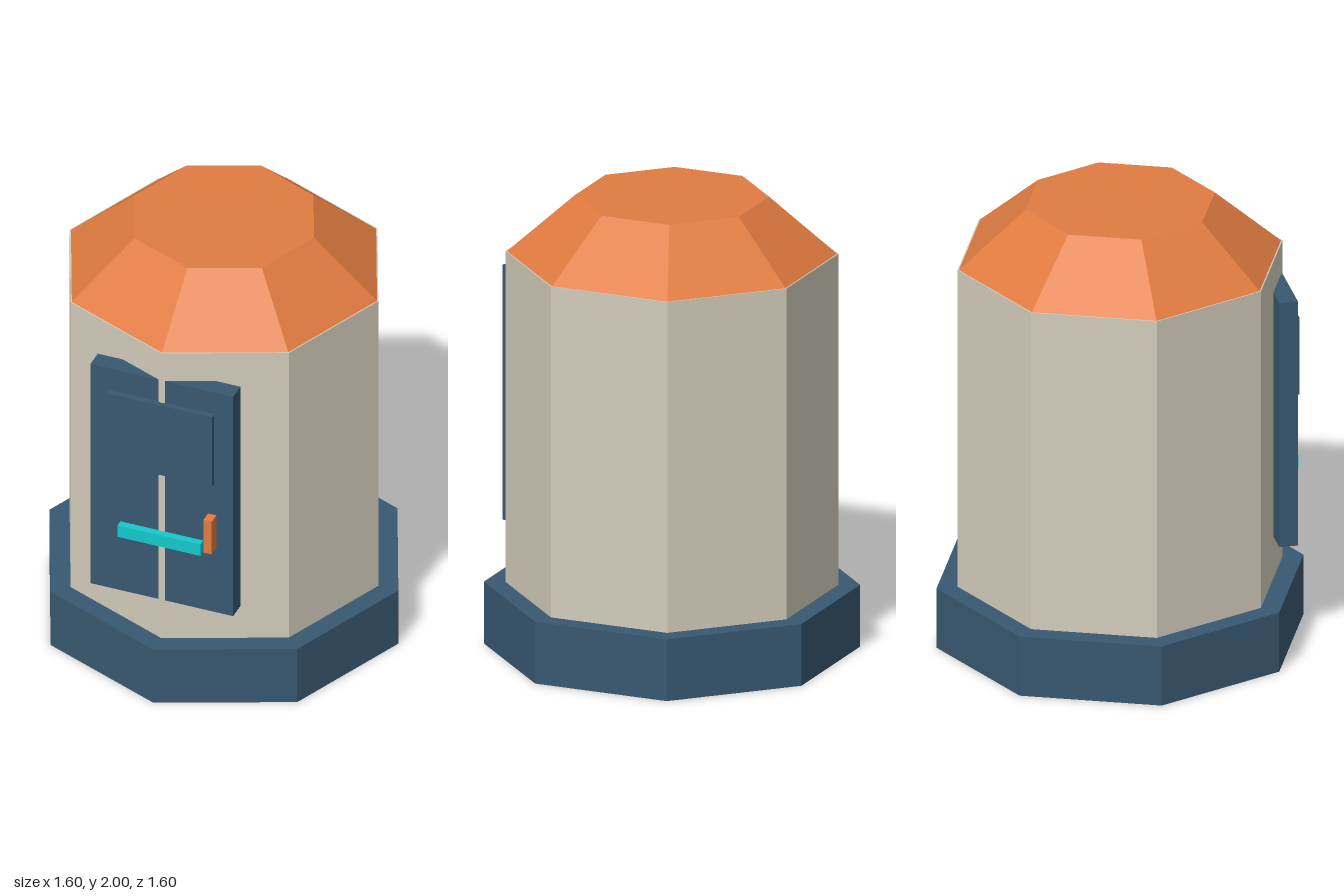
import * as THREE from 'three';

export function createModel() {
  const group = new THREE.Group();
  const material = (name, color) => {
    const m = new THREE.MeshStandardMaterial({ color, flatShading: true });
    m.name = name;
    return m;
  };
  const navy = material('navy', 0x385870);
  const cream = material('cream', 0xd2ccba);
  const orange = material('orange', 0xe07b40);
  const cyan = material('cyan', 0x14c8cc);

  const add = (name, geometry, mat, x, y, z) => {
    const mesh = new THREE.Mesh(geometry, mat);
    mesh.name = name;
    mesh.position.set(x, y, z);
    group.add(mesh);
  };
  // Eight-sided drum with a corner facing the front
  const drum = (name, mat, rTop, rBottom, y0, y1) =>
    add(name, new THREE.CylinderGeometry(rTop, rBottom, y1 - y0, 8), mat, 0, (y0 + y1) / 2, 0);
  // Box given by its limits on each axis
  const block = (name, mat, [x0, x1], [y0, y1], [z0, z1]) =>
    add(name, new THREE.BoxGeometry(x1 - x0, y1 - y0, z1 - z0), mat,
      (x0 + x1) / 2, (y0 + y1) / 2, (z0 + z1) / 2);

  // Shell
  drum('base', navy, 0.8, 0.8, 0, 0.275);
  drum('body', cream, 0.708, 0.708, 0.275, 1.748);
  drum('roof', orange, 0.413, 0.702, 1.748, 2);

  // Door and its fittings; the front corner of the body shows through as a seam
  block('door', navy, [-0.327, 0.327], [0.47, 1.605], [0.62, 0.702]);
  block('doorPanel', navy, [-0.24, 0.24], [1.132, 1.492], [0.697, 0.727]);
  block('doorBar', cyan, [-0.19, 0.19], [0.767, 0.826], [0.7, 0.735]);
  block('doorHandle', orange, [0.212, 0.25], [0.803, 0.972], [0.702, 0.755]);

  return group;
}
